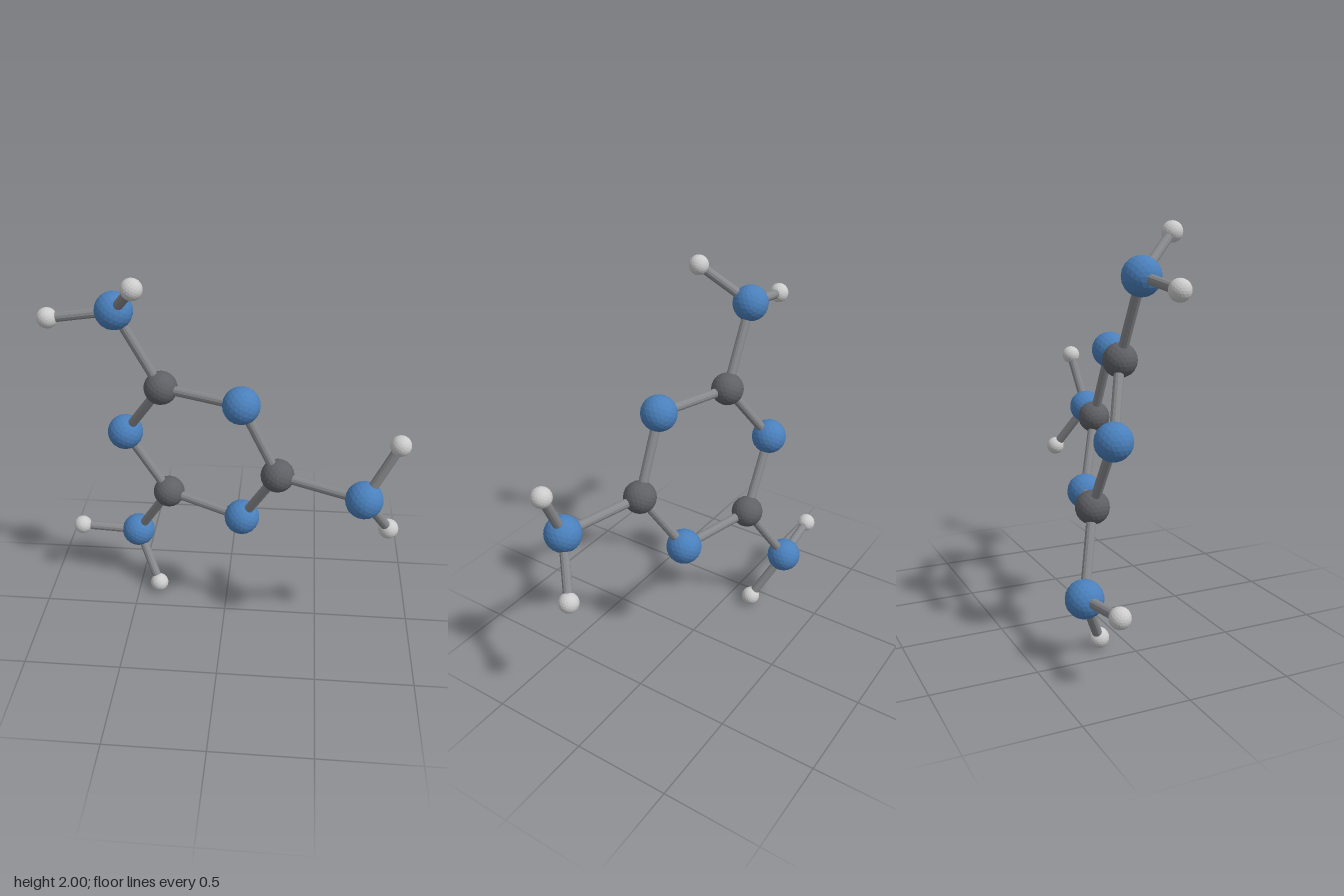
import * as THREE from 'three';

// Atom kinds: radius and colour
const KINDS = {
  nitrogen: { radius: 0.091, color: 0x4a80bc },
  carbon: { radius: 0.083, color: 0x606166 },
  hydrogen: { radius: 0.05, color: 0xcccccc },
};
const BOND_RADIUS = 0.024;

// Six-membered ring, alternating carbon and nitrogen
const RING = [
  ['carbon', -0.31, 1.37, 0],
  ['nitrogen', 0.09, 1.365, 0.14],
  ['carbon', 0.27, 0.985, 0.135],
  ['nitrogen', 0.09, 0.635, 0],
  ['carbon', -0.31, 0.68, -0.14],
  ['nitrogen', -0.525, 1.04, -0.135],
];

// Side groups: ring carbon index, nitrogen position, two hydrogen positions
const AMINES = [
  { ring: 0, n: [-0.515, 1.76, 0], h: [[-0.383, 1.95, 0.222], [-0.83, 1.717, 0.01]] },
  { ring: 2, n: [0.685, 0.958, 0.273], h: [[0.83, 1.245, 0.243], [0.83, 0.706, 0.14]] },
  { ring: 4, n: [-0.515, 0.32, -0.273], h: [[-0.83, 0.352, -0.25], [-0.386, 0.052, -0.141]] },
];

export function createModel() {
  const model = new THREE.Group();
  model.name = 'molecule';

  const material = (color) => new THREE.MeshStandardMaterial({ color, flatShading: true });
  const bondMaterial = material(0x88898c);
  const bondGeometry = new THREE.CylinderGeometry(BOND_RADIUS, BOND_RADIUS, 1, 12);
  const atoms = {};
  for (const [kind, { radius, color }] of Object.entries(KINDS)) {
    atoms[kind] = { geometry: new THREE.IcosahedronGeometry(radius, 3), material: material(color) };
  }

  function addAtom(parent, kind, position) {
    const mesh = new THREE.Mesh(atoms[kind].geometry, atoms[kind].material);
    mesh.name = kind + 'Atom';
    mesh.position.copy(position);
    parent.add(mesh);
  }

  // Unit cylinder stretched between two atom centres
  function addBond(parent, a, b) {
    const direction = b.clone().sub(a);
    const mesh = new THREE.Mesh(bondGeometry, bondMaterial);
    mesh.name = 'bond';
    mesh.position.copy(a).lerp(b, 0.5);
    mesh.scale.y = direction.length();
    mesh.quaternion.setFromUnitVectors(new THREE.Vector3(0, 1, 0), direction.normalize());
    parent.add(mesh);
  }

  // Central ring
  const ring = new THREE.Group();
  ring.name = 'ring';
  const ringPoints = RING.map(([, x, y, z]) => new THREE.Vector3(x, y, z));
  ringPoints.forEach((point, i) => {
    addAtom(ring, RING[i][0], point);
    addBond(ring, point, ringPoints[(i + 1) % ringPoints.length]);
  });
  model.add(ring);

  // Three amine side groups
  for (const amine of AMINES) {
    const group = new THREE.Group();
    group.name = 'amineGroup';
    const n = new THREE.Vector3(...amine.n);
    addAtom(group, 'nitrogen', n);
    addBond(group, ringPoints[amine.ring], n);
    for (const position of amine.h) {
      const h = new THREE.Vector3(...position);
      addAtom(group, 'hydrogen', h);
      addBond(group, n, h);
    }
    model.add(group);
  }

  return model;
}
